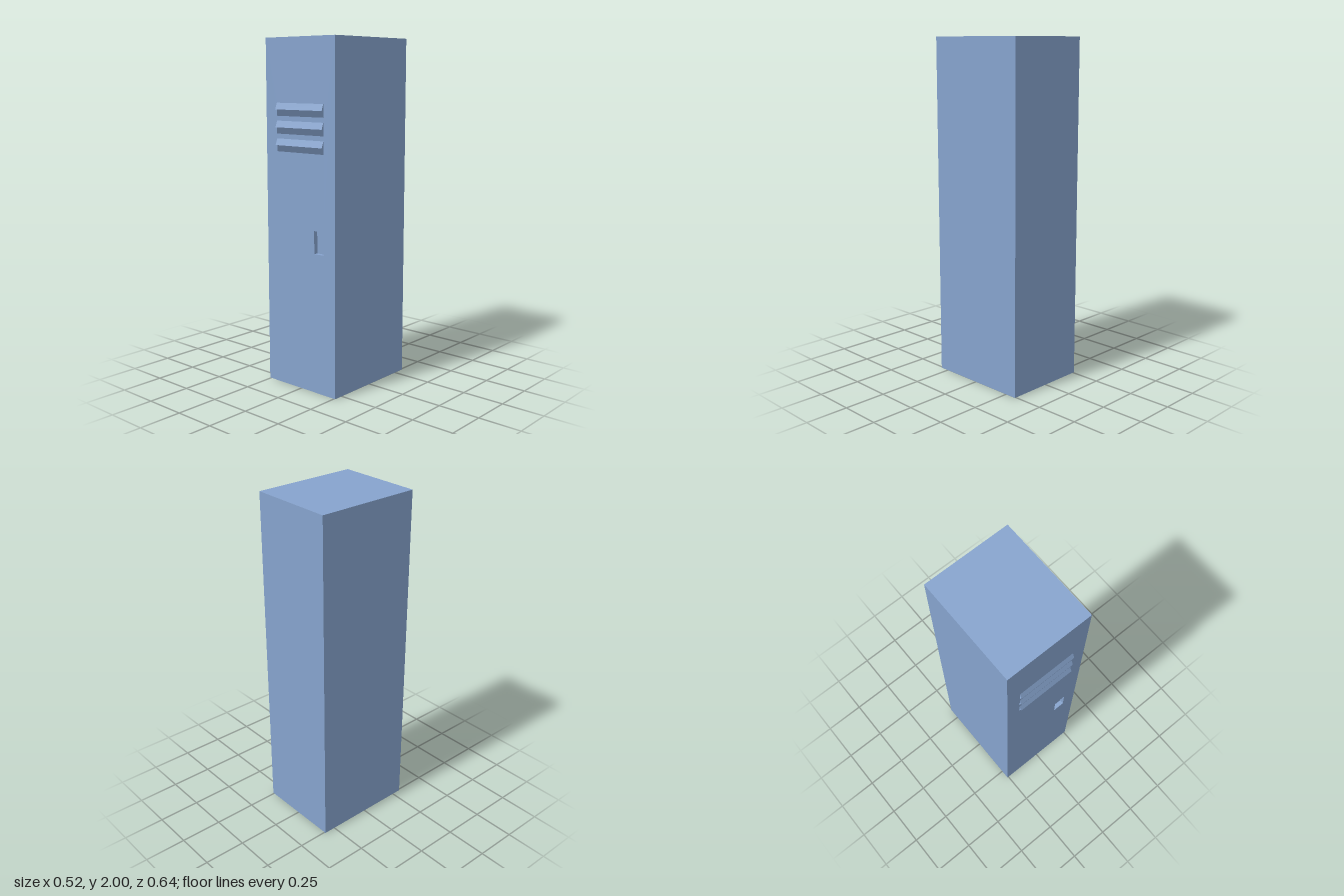
import * as THREE from 'three';

const W = 0.516, H = 2, FRONT = 0.307, BACK = -0.321;
const LIP_OUT = 0.014, SLOT_HALF = 0.175;
const LIPS = [1.603, 1.503, 1.403];
const HOOD_H = 0.037, SLOT_H = 0.036;
const GRIP = { x0: 0.105, x1: 0.175, y0: 0.81, y1: 0.94, depth: 0.025 };

// Box shell without its +z face
function openBox(x0, x1, y0, y1, z0, z1) {
  const geo = new THREE.BoxGeometry(x1 - x0, y1 - y0, z1 - z0);
  const index = Array.from(geo.index.array);
  index.splice(24, 6);
  geo.setIndex(index);
  geo.clearGroups();
  geo.translate((x0 + x1) / 2, (y0 + y1) / 2, (z0 + z1) / 2);
  return geo;
}

function rectangle(Type, x0, x1, y0, y1) {
  return new Type([[x0, y0], [x1, y0], [x1, y1], [x0, y1]].map(([x, y]) => new THREE.Vector2(x, y)));
}

// Sloping louvre hood with closed ends, open underneath
function hoodGeometry(w) {
  const topL = [-w, HOOD_H, 0], topR = [w, HOOD_H, 0];
  const lipL = [-w, 0, LIP_OUT], lipR = [w, 0, LIP_OUT];
  const inL = [-w, 0, 0], inR = [w, 0, 0];
  const corners = [
    lipL, lipR, topR, lipL, topR, topL,
    lipR, inR, topR,
    inL, lipL, topL,
  ];
  const geo = new THREE.BufferGeometry();
  geo.setAttribute('position', new THREE.Float32BufferAttribute(corners.flat(), 3));
  geo.computeVertexNormals();
  return geo;
}

export function createModel() {
  const group = new THREE.Group();
  group.name = 'locker';
  const paint = new THREE.MeshStandardMaterial({ color: 0x86a3cd, side: THREE.DoubleSide });
  paint.name = 'blue paint';

  const add = (name, geo) => {
    const mesh = new THREE.Mesh(geo, paint);
    mesh.name = name;
    group.add(mesh);
    return mesh;
  };

  // Hollow sheet-metal cabinet
  add('cabinet', openBox(-W / 2, W / 2, 0, H, BACK, FRONT));

  // Door panel with vent slots and handle opening
  const door = rectangle(THREE.Shape, -W / 2, W / 2, 0, H);
  for (const y of LIPS) {
    door.holes.push(rectangle(THREE.Path, -SLOT_HALF, SLOT_HALF, y - SLOT_H, y + HOOD_H));
  }
  door.holes.push(rectangle(THREE.Path, GRIP.x0, GRIP.x1, GRIP.y0, GRIP.y1));
  add('door', new THREE.ShapeGeometry(door)).position.z = FRONT;

  // Louvre hoods over the slots
  const hood = hoodGeometry(SLOT_HALF);
  LIPS.forEach((y, i) => add('louvre' + (i + 1), hood).position.set(0, y, FRONT));

  // Recessed handle pocket
  add('handleRecess', openBox(GRIP.x0, GRIP.x1, GRIP.y0, GRIP.y1, FRONT - GRIP.depth, FRONT));

  return group;
}
